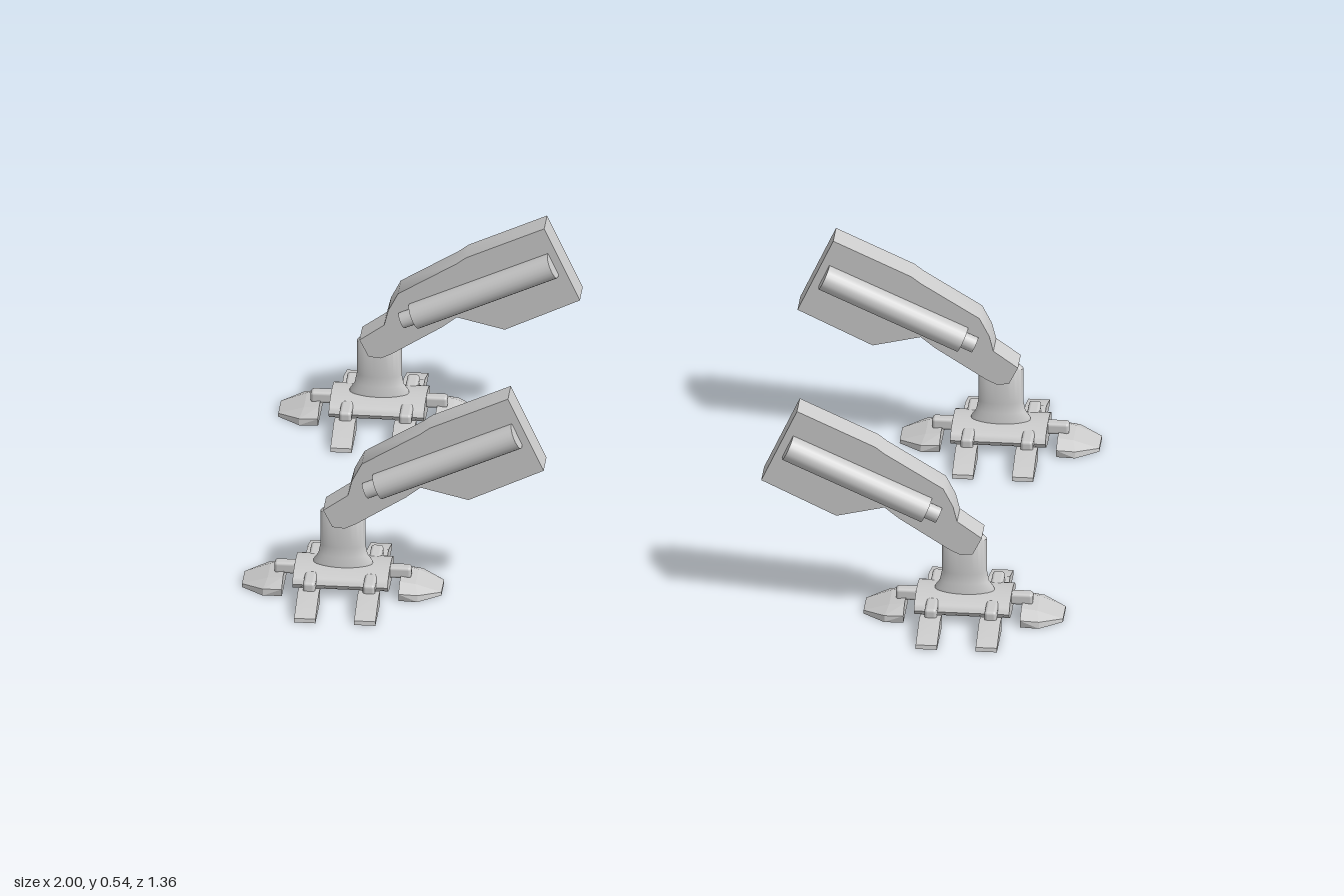
import * as THREE from 'three';
import { ConvexGeometry } from 'three/addons/geometries/ConvexGeometry.js';
import { RoundedBoxGeometry } from 'three/addons/geometries/RoundedBoxGeometry.js';
import { toCreasedNormals } from 'three/addons/utils/BufferGeometryUtils.js';

const material = new THREE.MeshStandardMaterial({ color: 0xcccccc });
const CX = 0.757, CZ = 0.463; // foot centre of one leg

function part(name, geometry, x = 0, y = 0, z = 0) {
  const m = new THREE.Mesh(geometry, material);
  m.name = name;
  m.position.set(x, y, z);
  return m;
}

// Plate cut from an outline in x and y, centred on z
function plate(points, width) {
  const shape = new THREE.Shape(points.map(([x, y]) => new THREE.Vector2(x, y)));
  const g = new THREE.ExtrudeGeometry(shape, { depth: width, bevelEnabled: false });
  g.translate(0, 0, -width / 2);
  return toCreasedNormals(g, 0.6);
}

// Rod between two points in the x-y plane
function rod(name, a, b, z, radius, flat = 1, sides = 20) {
  const dx = b[0] - a[0], dy = b[1] - a[1];
  const m = part(name, new THREE.CylinderGeometry(radius, radius, Math.hypot(dx, dy), sides),
    (a[0] + b[0]) / 2, (a[1] + b[1]) / 2, z);
  m.rotation.z = Math.atan2(dy, dx) - Math.PI / 2;
  m.scale.z = flat;
  return m;
}

// Narrow wedge toe with its link, pointing along +x
function sideToe() {
  const g = new THREE.Group();
  g.name = 'sideToe';
  g.add(part('toePad', plate([[0.095, 0], [0.215, 0], [0.213, 0.01], [0.125, 0.037], [0.09, 0.032]], 0.052)));
  g.add(part('toeLink', new RoundedBoxGeometry(0.07, 0.03, 0.03, 2, 0.008), 0.08, 0.042, 0));
  return g;
}

// Broad tapered toe with its link, pointing along +x
function mainToe() {
  const g = new THREE.Group();
  g.name = 'mainToe';
  const pts = [];
  for (const s of [-1, 1]) {
    for (const [x, y, z] of [[0.142, 0, 0.075], [0.142, 0.02, 0.08], [0.142, 0.037, 0.045],
      [0.188, 0, 0.078], [0.188, 0.016, 0.075], [0.18, 0.03, 0.04], [0.243, 0, 0.036], [0.243, 0.008, 0.034]]) {
      pts.push(new THREE.Vector3(x, y, z * s));
    }
  }
  g.add(part('toePad', new ConvexGeometry(pts)));
  g.add(part('toeLink', new RoundedBoxGeometry(0.09, 0.03, 0.03, 2, 0.008), 0.122, 0.044, 0));
  return g;
}

function foot() {
  const g = new THREE.Group();
  g.name = 'foot';
  // Rounded sole block lying along x
  const base = new THREE.CylinderGeometry(1, 1, 0.232, 24);
  base.rotateZ(Math.PI / 2);
  base.scale(1, 0.027, 0.08);
  g.add(part('footBase', toCreasedNormals(base, 0.7), 0, 0.035, 0));
  for (const s of [-1, 1]) {
    const main = mainToe();
    main.rotation.y = s > 0 ? 0 : Math.PI;
    g.add(main);
    for (const x of [-0.073, 0.073]) {
      const toe = sideToe();
      toe.position.x = x;
      toe.rotation.y = -s * Math.PI / 2;
      g.add(toe);
    }
  }
  return g;
}

function leg() {
  const g = new THREE.Group();
  g.name = 'leg';
  g.add(foot());

  // Oval ankle column flaring at the bottom
  const profile = [[0, 0.045], [0.074, 0.045], [0.072, 0.068], [0.06, 0.085], [0.055, 0.11], [0.055, 0.2], [0.045, 0.21], [0, 0.21]];
  const ankle = new THREE.LatheGeometry(profile.map(([r, y]) => new THREE.Vector2(r, y)), 28);
  ankle.scale(1, 1, 0.4);
  g.add(part('ankle', toCreasedNormals(ankle, 0.6)));

  // Upper leg: knee end at +x, thick end rising towards -x
  const outline = [[0.352, 0.54], [0.265, 0.35], [0.448, 0.262], [0.565, 0.29], [0.6, 0.262], [0.725, 0.182],
    [0.75, 0.17], [0.78, 0.173], [0.802, 0.217], [0.742, 0.26], [0.732, 0.3], [0.708, 0.347], [0.565, 0.435], [0.543, 0.452]];
  g.add(part('upperLeg', plate(outline.map(([x, y]) => [x - CX, y]), 0.072)));

  // Side cylinders with a thinner piston at the knee end
  for (const s of [-1, 1]) {
    g.add(rod('sideCylinder', [0.33 - CX, 0.446], [0.668 - CX, 0.293], s * 0.046, 0.032, 1.06));
    g.add(rod('piston', [0.66 - CX, 0.297], [0.698 - CX, 0.28], s * 0.046, 0.02));
  }
  return g;
}

export function createModel() {
  const model = new THREE.Group();
  model.name = 'legSet';
  for (const sx of [-1, 1]) {
    for (const sz of [-1, 1]) {
      const l = leg();
      l.name = (sz > 0 ? 'front' : 'rear') + (sx > 0 ? 'LeftLeg' : 'RightLeg');
      l.position.set(sx * CX, 0, sz * CZ);
      l.rotation.y = sx > 0 ? 0 : Math.PI;
      model.add(l);
    }
  }
  return model;
}
